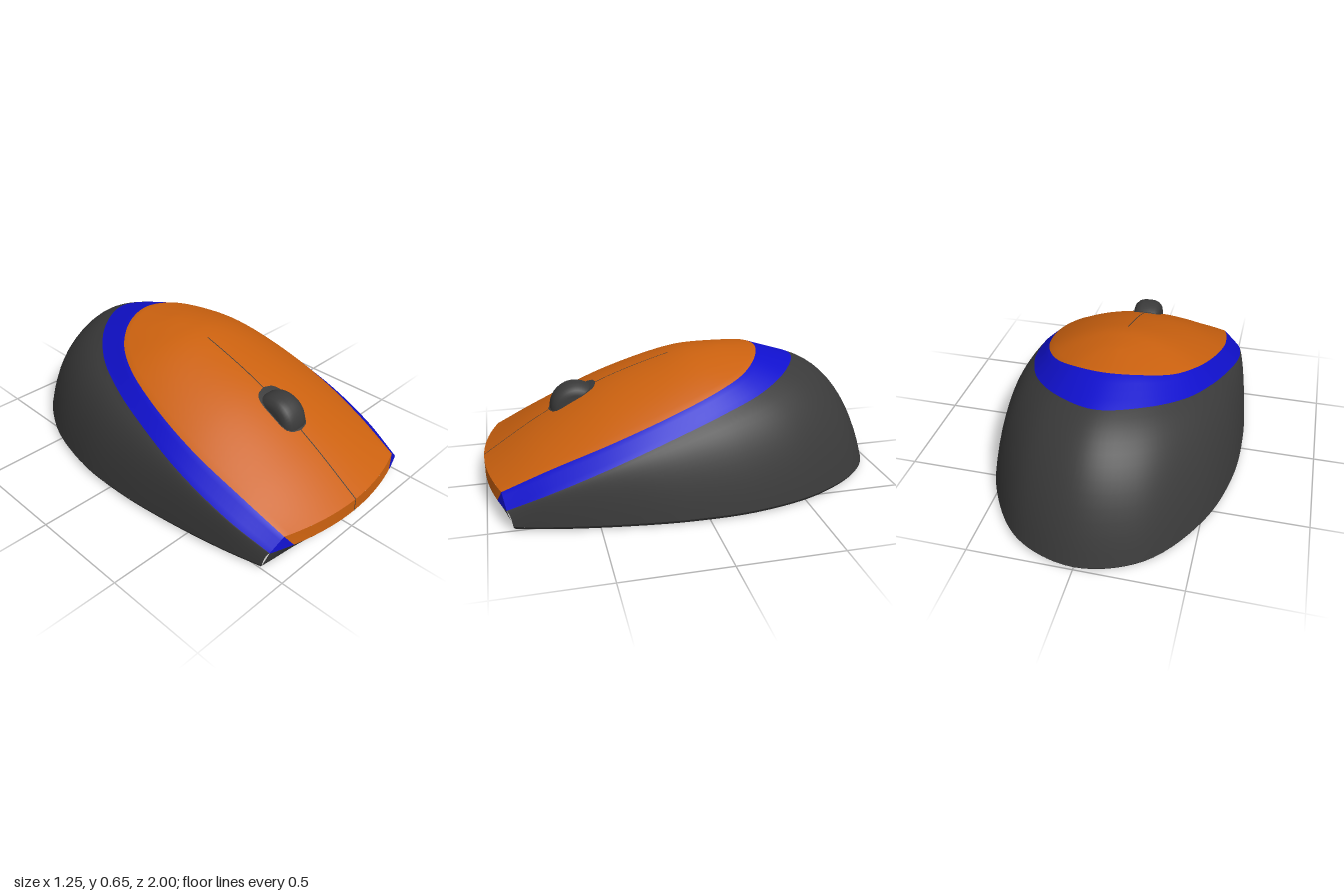
import * as THREE from 'three';
import { mergeVertices } from 'three/addons/utils/BufferGeometryUtils.js';

const V = (x, y, z) => new THREE.Vector3(x, y, z);

// Symmetric U-shaped curve: right half from the front to the rear tip, then mirrored
function contour(half) {
  const right = half.map(p => V(...p));
  const left = right.slice(0, -1).reverse().map(p => V(-p.x, p.y, p.z));
  return new THREE.CatmullRomCurve3([...right, ...left]);
}

const base = contour([[.5, .02, .885], [.545, .02, .7], [.595, .02, .4], [.624, .02, .08],
  [.61, .02, -.25], [.51, .02, -.6], [.29, .02, -.9], [0, .02, -1]]);
const bandEdge = contour([[.48, .095, .908], [.525, .18, .7], [.54, .285, .42], [.51, .375, .15],
  [.455, .45, -.1], [.36, .505, -.32], [.2, .555, -.5], [0, .575, -.59]]);
const coverEdge = contour([[.41, .155, .925], [.44, .255, .7], [.457, .36, .42], [.43, .46, .13],
  [.37, .535, -.1], [.28, .58, -.25], [.15, .622, -.35], [0, .638, -.39]]);
const spine = contour([[0, .16, 1], [0, .335, .73], [0, .5, .42], [0, .602, .13],
  [0, .635, 0], [0, .645, -.1], [0, .648, -.17], [0, .648, -.2]]);

// Grid surface; outward is (i direction) x (j direction)
function gridIndex(nu, j0, j1) {
  const index = [];
  for (let j = j0; j < j1; j++) for (let i = 0; i < nu; i++) {
    const a = j * (nu + 1) + i, d = a + nu + 1;
    index.push(a, a + 1, d + 1, a, d + 1, d);
  }
  return index;
}

function grid(nu, nv, f) {
  const pos = [];
  for (let j = 0; j <= nv; j++) for (let i = 0; i <= nu; i++) pos.push(...f(i / nu, j / nv).toArray());
  const g = new THREE.BufferGeometry();
  g.setAttribute('position', new THREE.Float32BufferAttribute(pos, 3));
  g.setIndex(gridIndex(nu, 0, nv));
  const merged = mergeVertices(g, 1e-5);
  merged.computeVertexNormals();
  return merged;
}

// Wall bulges out, band is straight, cover arches up to the spine
const bezier = (a, c, b, t) => new THREE.QuadraticBezierCurve3(a, c, b).getPoint(t);
function wall(u, t) {
  const a = base.getPoint(u), b = bandEdge.getPoint(u), c = a.clone().lerp(b, .28);
  c.y = Math.max(b.y * .82, .05);
  return bezier(a, c, b, t);
}
const band = (u, t) => bandEdge.getPoint(u).lerp(coverEdge.getPoint(u), t);
function cover(u, t) {
  const a = coverEdge.getPoint(u), b = spine.getPoint(u);
  return bezier(a, V(a.x / 2, b.y, b.z), b, t);
}

// Height of the centre line at a given z
const spinePts = Array.from({ length: 201 }, (_, i) => spine.getPoint(i / 400));
function crown(z) {
  for (let i = 1; i < spinePts.length; i++) {
    const a = spinePts[i - 1], b = spinePts[i];
    if (z <= a.z && z >= b.z) return a.y + (b.y - a.y) * (a.z - z) / (a.z - b.z || 1);
  }
  return spinePts[0].y;
}

export function createModel() {
  const material = (name, color) => {
    const m = new THREE.MeshStandardMaterial({ color });
    m.name = name;
    return m;
  };
  const orange = material('orange', 0xcb610f);
  const blue = material('blue', 0x1010cc);
  const dark = material('charcoal', 0x3a3a3a);

  const model = new THREE.Group();
  model.name = 'computerMouse';
  const add = (name, geometry, mat) => {
    const mesh = new THREE.Mesh(geometry, mat);
    mesh.name = name;
    model.add(mesh);
    return mesh;
  };

  // Upper shell: one smooth surface, divided into body wall, accent band and top cover
  const NU = 112, rows = [12, 4, 14], total = 30;
  const shell = grid(NU, total, (u, v) => {
    const r = Math.round(v * total);
    if (r < rows[0]) return wall(u, r / rows[0]);
    if (r < rows[0] + rows[1]) return band(u, (r - rows[0]) / rows[1]);
    return cover(u, (r - rows[0] - rows[1]) / rows[2]);
  });
  const all = Array.from(shell.index.array);
  const parts = [['bodyWall', dark], ['accentBand', blue], ['topCover', orange]];
  let start = 0;
  parts.forEach(([name, mat], k) => {
    const count = rows[k] * NU * 6;
    const g = new THREE.BufferGeometry();
    g.setAttribute('position', shell.attributes.position);
    g.setAttribute('normal', shell.attributes.normal);
    g.setIndex(all.slice(start, start + count));
    start += count;
    add(name, g, mat);
  });

  // Front lip under the cover and the ends of the accent band
  const lipLow = x => V(x, .093, 1 - .4 * x * x);
  add('coverLip', grid(40, 3, (u, v) => {
    const s = u * 2 - 1, top = cover(0, 1 - Math.abs(s));
    top.x *= Math.sign(s);
    return lipLow(top.x * .365 / .41).lerp(top, v);
  }), orange);
  for (const side of [-1, 1]) {
    add(side > 0 ? 'leftBandEnd' : 'rightBandEnd', grid(6, 2, (u, v) => {
      const k = side > 0 ? 1 - u : u;
      const top = band(0, k);
      top.x *= side;
      return lipLow(side * (.48 - .115 * k)).lerp(top, v);
    }), blue);
  }

  // Sloping front of the body
  const frontBase = x => V(x, .02, .92 - .14 * x * x);
  add('bodyFront', grid(32, 4, (u, v) => {
    const s = u * 2 - 1;
    return frontBase(s * .5).lerp(lipLow(s * .48), v);
  }), dark);

  // Underside with a softly rounded rim
  const outline = base.getPoints(96);
  for (let i = 1; i <= 20; i++) outline.push(frontBase(-.5 + i / 20));
  outline.reverse();
  const rim = [[1, .02], [.99, .006], [.96, 0], [.5, 0], [0, 0]];
  add('underside', grid(outline.length - 1, rim.length - 1, (u, v) => {
    const p = outline[Math.round(u * (outline.length - 1))];
    const [s, y] = rim[Math.round(v * (rim.length - 1))];
    return V(p.x * s, y, p.z * s);
  }), dark);

  // Scroll wheel in its slot
  const profile = [[0, -.075], [.075, -.075], [.1, -.068], [.117, -.05], [.125, -.025],
    [.125, .025], [.117, .05], [.1, .068], [.075, .075], [0, .075]];
  const wheel = add('scrollWheel', new THREE.LatheGeometry(profile.map(p => new THREE.Vector2(...p)), 48), dark);
  wheel.rotation.z = Math.PI / 2;
  wheel.position.set(0, .385, .535);
  add('wheelSlot', grid(10, 24, (u, v) => {
    const k = 1 - 2 * v, z = .55 + .12 * k;
    const x = (u * 2 - 1) * .08 * Math.pow(Math.max(0, 1 - Math.abs(k) ** 4), .5);
    return V(x, crown(z) + .005 - .65 * x * x, z);
  }), dark);

  // Thin seam between the two buttons
  const seam = (z0, z1) => grid(1, 24, (u, v) => {
    const z = z0 + (z1 - z0) * v;
    return V((u - .5) * .005, crown(z) + .002, z);
  });
  add('rearSeam', seam(.43, .06), dark);
  add('frontSeam', seam(1, .67), dark);
  add('lipSeam', grid(1, 1, (u, v) => V((u - .5) * .005, .093 + .067 * v, 1.001)), dark);
  return model;
}
